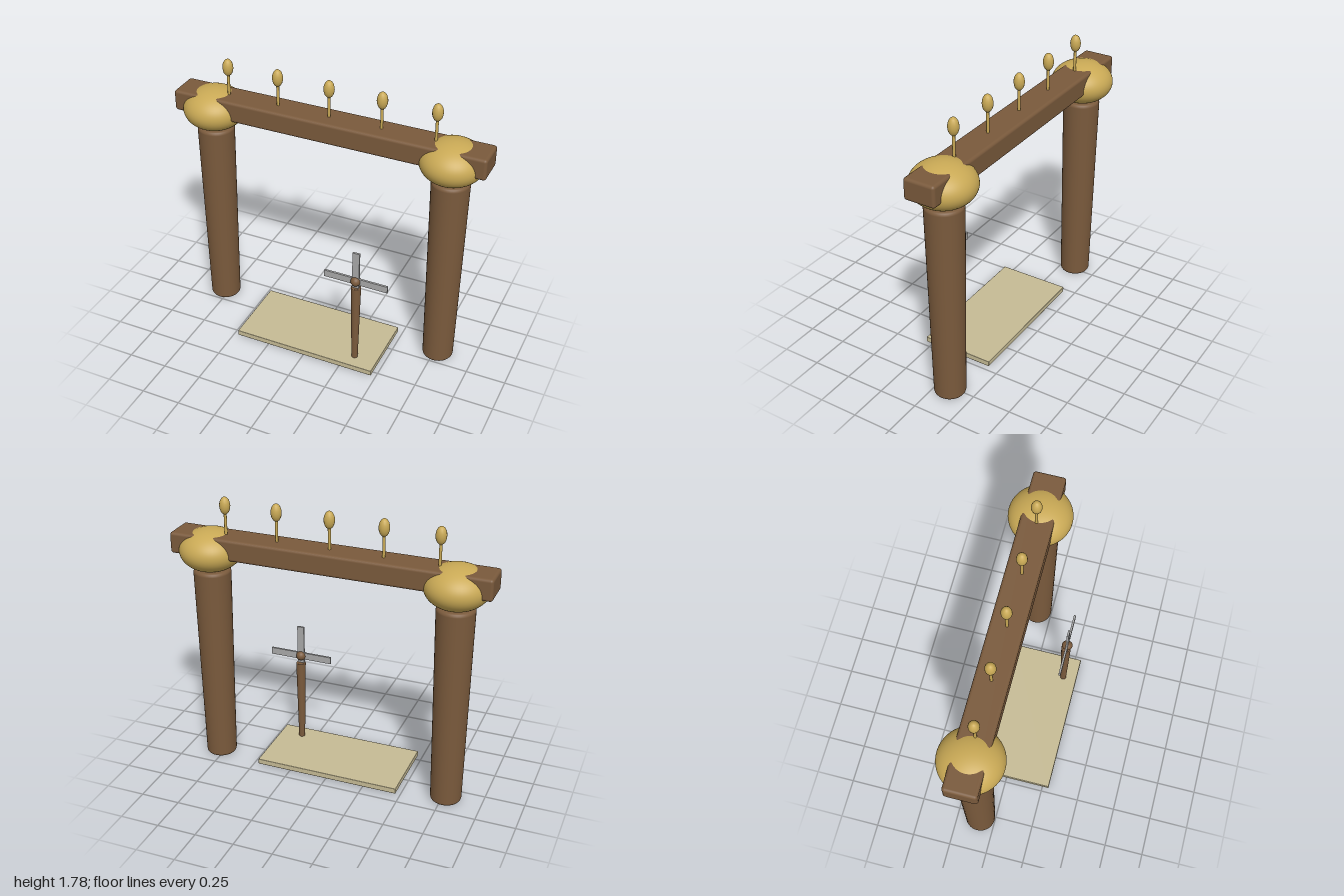
import * as THREE from 'three';
import { RoundedBoxGeometry } from 'three/addons/geometries/RoundedBoxGeometry.js';

const paint = (color) => new THREE.MeshStandardMaterial({ color });
const wood = paint(0x7a5a3c);
const gold = paint(0xc9a955);
const stone = paint(0xc6bb95);
const steel = paint(0xa8a8a8);

function add(parent, name, geometry, material, x = 0, y = 0, z = 0) {
  const mesh = new THREE.Mesh(geometry, material);
  mesh.name = name;
  mesh.position.set(x, y, z);
  parent.add(mesh);
  return mesh;
}

// Tapered round post with softened rims, standing on y = 0
function postGeometry(bottom, top, height, bevel) {
  const points = [new THREE.Vector2(0, 0)];
  for (let i = 0; i <= 4; i++) {
    const a = (i / 4) * Math.PI / 2;
    points.push(new THREE.Vector2(bottom - bevel + bevel * Math.sin(a), bevel * (1 - Math.cos(a))));
  }
  for (let i = 0; i <= 4; i++) {
    const a = (i / 4) * Math.PI / 2;
    points.push(new THREE.Vector2(top - bevel + bevel * Math.cos(a), height - bevel * (1 - Math.sin(a))));
  }
  points.push(new THREE.Vector2(0, height));
  return new THREE.LatheGeometry(points, 40);
}

export function createModel() {
  const model = new THREE.Group();
  model.name = 'gateway';
  const gateZ = -0.098;

  // Posts with flattened golden capitals
  const post = postGeometry(0.097, 0.116, 1.312, 0.022);
  const capital = new THREE.SphereGeometry(0.195, 48, 32).scale(1, 0.68, 1);
  for (const side of [-1, 1]) {
    add(model, 'post', post, wood, side * 0.773, 0.005, gateZ);
    add(model, 'capital', capital, gold, side * 0.773, 1.44, gateZ);
  }

  // Crossbeam
  add(model, 'beam', new RoundedBoxGeometry(2, 0.134, 0.2, 3, 0.018), wood, 0, 1.484, gateZ);

  // Finials along the beam
  const stem = new THREE.CylinderGeometry(0.009, 0.009, 0.17, 12);
  const bulb = new THREE.SphereGeometry(0.033, 16, 10).scale(1, 1.67, 1);
  for (let i = -2; i <= 2; i++) {
    const finial = new THREE.Group();
    finial.name = 'finial';
    finial.position.set(i / 3, 1.53, gateZ);
    add(finial, 'stem', stem, gold, 0, 0.085, 0);
    add(finial, 'bulb', bulb, gold, 0, 0.201, 0);
    model.add(finial);
  }

  // Ground slab
  add(model, 'slab', new RoundedBoxGeometry(0.94, 0.036, 0.47, 1, 0.004), stone, 0, 0.027, 0.057);

  // Pinwheel on a small mast
  const pinwheel = new THREE.Group();
  pinwheel.name = 'pinwheel';
  pinwheel.position.set(0.32, 0, 0.2);
  add(pinwheel, 'mast', postGeometry(0.02, 0.031, 0.56, 0.005), wood, 0, 0.04, 0);
  const rotor = new THREE.Group();
  rotor.name = 'rotor';
  rotor.position.set(0, 0.648, 0.006);
  add(rotor, 'hub', new THREE.SphereGeometry(0.032, 24, 16).scale(1, 1, 1.08), wood);
  const blade = new THREE.BoxGeometry(0.045, 0.207, 0.013).translate(0, 0.1035, 0);
  for (let i = 0; i < 4; i++) {
    add(rotor, 'blade', blade, steel).rotation.z = i * Math.PI / 2;
  }
  pinwheel.add(rotor);
  model.add(pinwheel);

  return model;
}
